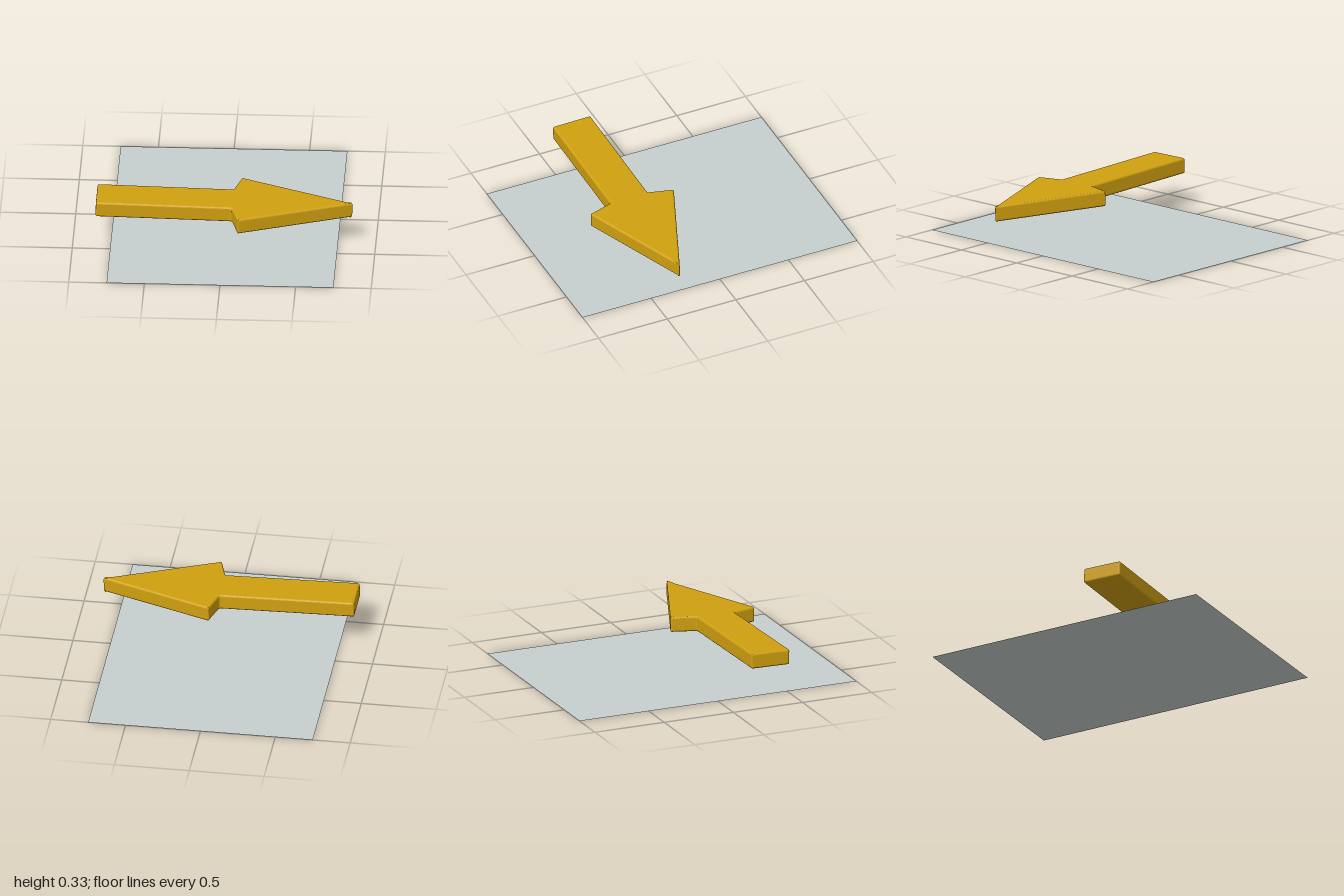
import * as THREE from 'three';

// Closed outline with every corner slightly rounded.
function roundedOutline(points, r) {
  const pts = points.map(([x, y]) => new THREE.Vector2(x, y));
  const shape = new THREE.Shape();
  pts.forEach((p, i) => {
    const prev = pts[(i + pts.length - 1) % pts.length];
    const next = pts[(i + 1) % pts.length];
    const a = p.clone().add(prev.clone().sub(p).setLength(r));
    const b = p.clone().add(next.clone().sub(p).setLength(r));
    if (i === 0) shape.moveTo(a.x, a.y);
    else shape.lineTo(a.x, a.y);
    shape.quadraticCurveTo(p.x, p.y, b.x, b.y);
  });
  shape.closePath();
  return shape;
}

export function createModel() {
  const model = new THREE.Group();
  model.name = 'arrowOverPanel';

  // Thin ground panel
  const panel = new THREE.Mesh(
    new THREE.PlaneGeometry(1.5, 2).rotateX(-Math.PI / 2),
    new THREE.MeshStandardMaterial({ color: 0xc6d0ce, side: THREE.DoubleSide })
  );
  panel.name = 'panel';
  model.add(panel);

  // Half outline of the arrow, mirrored across its long axis
  const half = [[-0.847, 0.137], [0.052, 0.136], [0.1, 0.305]];
  const outline = [
    ...half,
    [0.85, 0],
    ...half.map(([x, y]) => [x, -y]).reverse(),
  ];

  // Solid arrow with softened edges, laid flat
  const bevel = 0.014;
  const thickness = 0.105;
  const geometry = new THREE.ExtrudeGeometry(roundedOutline(outline, 0.012), {
    depth: thickness - 2 * bevel,
    bevelEnabled: true,
    bevelThickness: bevel,
    bevelSize: bevel,
    bevelOffset: -bevel,
    bevelSegments: 5,
    curveSegments: 4,
  });
  geometry.translate(0, 0, -(thickness / 2 - bevel));
  geometry.rotateX(Math.PI / 2);

  const arrow = new THREE.Mesh(geometry, new THREE.MeshStandardMaterial({ color: 0xd0a010 }));
  arrow.name = 'arrow';
  // Floats above the panel with a slight tilt
  arrow.position.set(0, 0.259, 0.338);
  arrow.rotation.set(0.017, 0, -0.02);
  model.add(arrow);

  return model;
}
